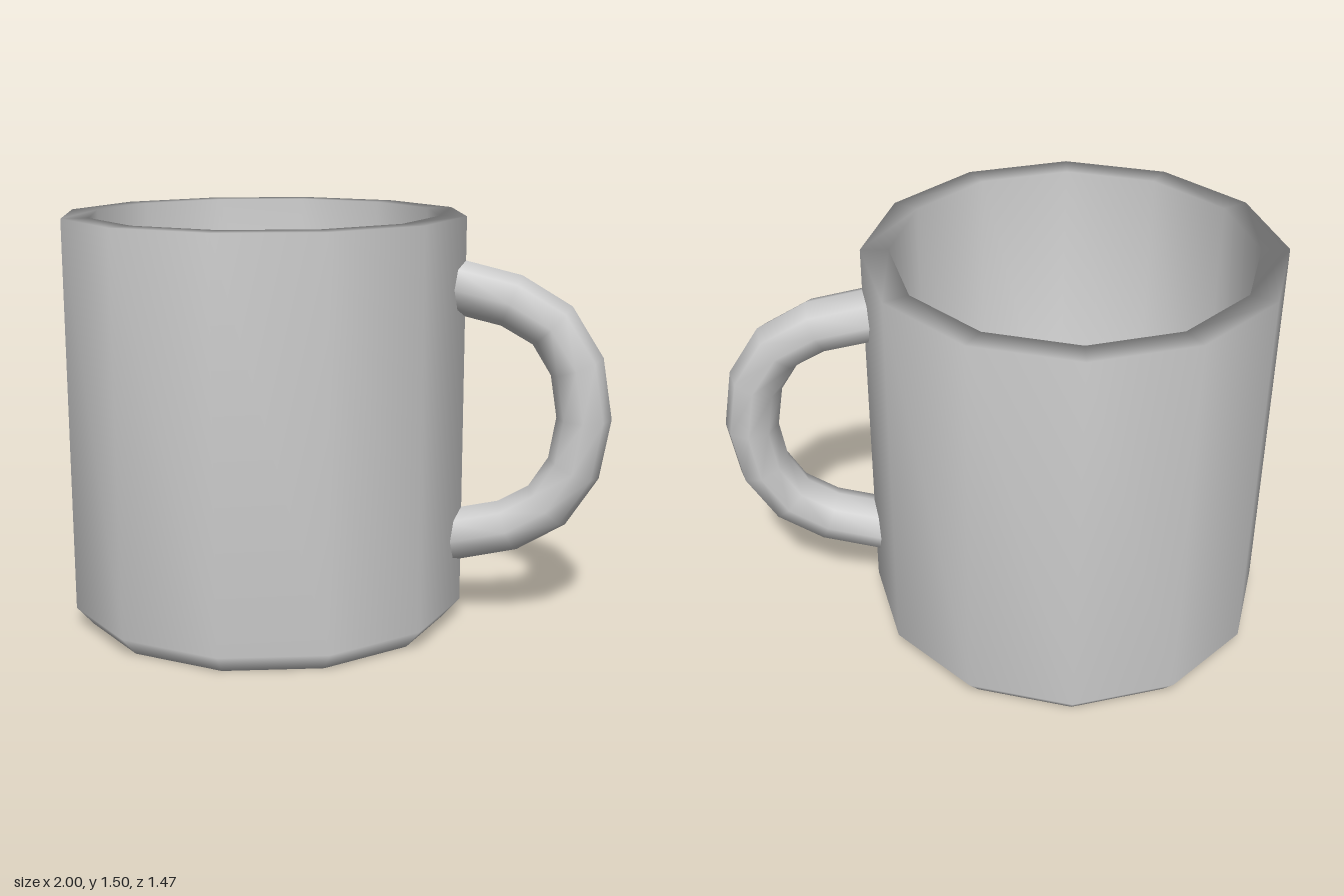
import * as THREE from 'three';
import { mergeVertices } from 'three/addons/utils/BufferGeometryUtils.js';

const material = new THREE.MeshStandardMaterial({ color: 0xcccccc });
const BODY_X = -0.265;

// Weld seams so shading runs smoothly over the whole low-poly surface
function smooth(geometry) {
  geometry.deleteAttribute('uv');
  geometry.deleteAttribute('normal');
  const welded = mergeVertices(geometry, 1e-4);
  welded.computeVertexNormals();
  return welded;
}

// Twelve-sided cup: underside, bevel, outer wall, rim, inner wall, floor
function createBody() {
  const profile = [
    [0, 0], [0.675, 0], [0.735, 0.07], [0.735, 1.495],
    [0.637, 1.495], [0.637, 0.1], [0, 0.1],
  ].map(([r, y]) => new THREE.Vector2(r, y));
  const body = new THREE.Mesh(smooth(new THREE.LatheGeometry(profile, 12)), material);
  body.name = 'cupBody';
  body.position.x = BODY_X;
  return body;
}

// Eight-sided C-shaped tube whose ends are buried in the cup wall
function createHandle() {
  const points = [
    [0.42, 1.25], [0.635, 1.2], [0.782, 1.115], [0.873, 0.97], [0.904, 0.782],
    [0.873, 0.597], [0.782, 0.453], [0.64, 0.368], [0.42, 0.316],
  ].map(([x, y]) => new THREE.Vector3(x, y, 0));
  const curve = new THREE.CatmullRomCurve3(points);
  // Place the rings exactly on the control points
  curve.getPointAt = curve.getPoint;
  curve.getTangentAt = curve.getTangent;
  const tube = new THREE.TubeGeometry(curve, points.length - 1, 0.098, 8);
  tube.scale(1, 1, 1.06);
  const handle = new THREE.Mesh(smooth(tube), material);
  handle.name = 'handle';
  return handle;
}

export function createModel() {
  const mug = new THREE.Group();
  mug.name = 'mug';
  mug.add(createBody(), createHandle());
  return mug;
}
